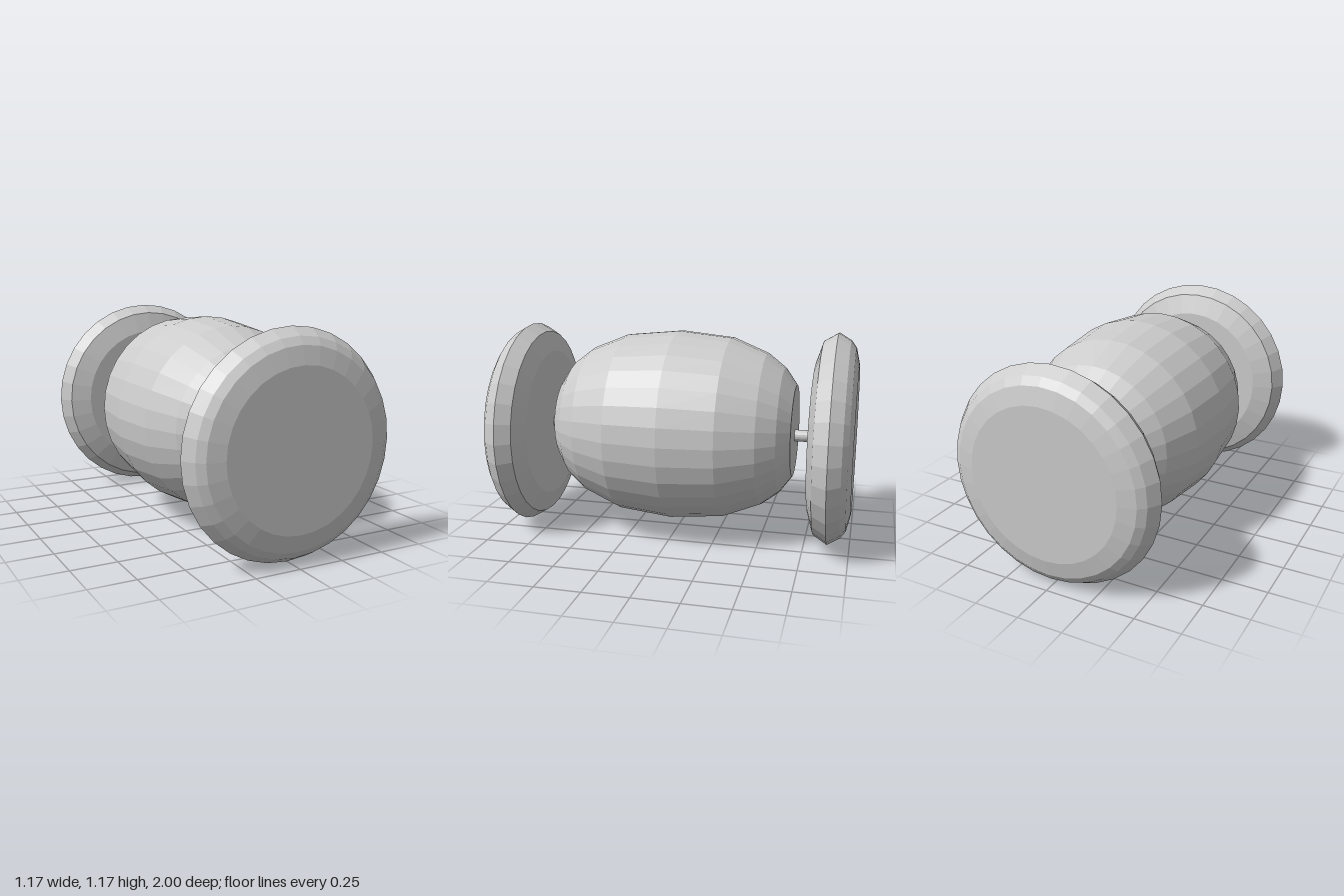
import * as THREE from 'three';

const material = new THREE.MeshStandardMaterial({ color: 0xcccccc, flatShading: true });

// Turned solid along z from [radius, z] pairs listed with z ascending
function turned(name, profile, sides, y) {
  const points = profile.map(([r, z]) => new THREE.Vector2(r, z));
  const geometry = new THREE.LatheGeometry(points, sides).rotateX(Math.PI / 2);
  const mesh = new THREE.Mesh(geometry, material);
  mesh.name = name;
  mesh.position.y = y;
  return mesh;
}

export function createModel() {
  const model = new THREE.Group();
  model.name = 'barrelWithEndDiscs';

  // Barrel body: half profile mirrored about its middle
  const half = [[0, 0.667], [0.257, 0.667], [0.35, 0.6], [0.427, 0.5], [0.508, 0.3]];
  const body = [...half.map(([r, z]) => [r, -z]), [0.538, 0], ...half.slice().reverse()];
  model.add(turned('barrelBody', body, 32, 0.622));

  // Rounded disc: inner face first, outer face last
  const disc = [
    [0, 0.768], [0.425, 0.768], [0.54, 0.805], [0.586, 0.882],
    [0.545, 0.95], [0.505, 0.979], [0.413, 1], [0, 1],
  ];
  const discBack = disc.map(([r, z]) => [r, -z]).reverse();
  model.add(turned('frontDisc', disc, 32, 0.59));
  model.add(turned('backDisc', discBack, 32, 0.59));

  // Short axles joining the discs to the barrel
  for (const side of [1, -1]) {
    const geometry = new THREE.CylinderGeometry(0.033, 0.033, 0.16, 16).rotateX(Math.PI / 2);
    const axle = new THREE.Mesh(geometry, material);
    axle.name = side > 0 ? 'frontAxle' : 'backAxle';
    axle.position.set(-0.003, 0.594, side * 0.718);
    model.add(axle);
  }

  return model;
}
